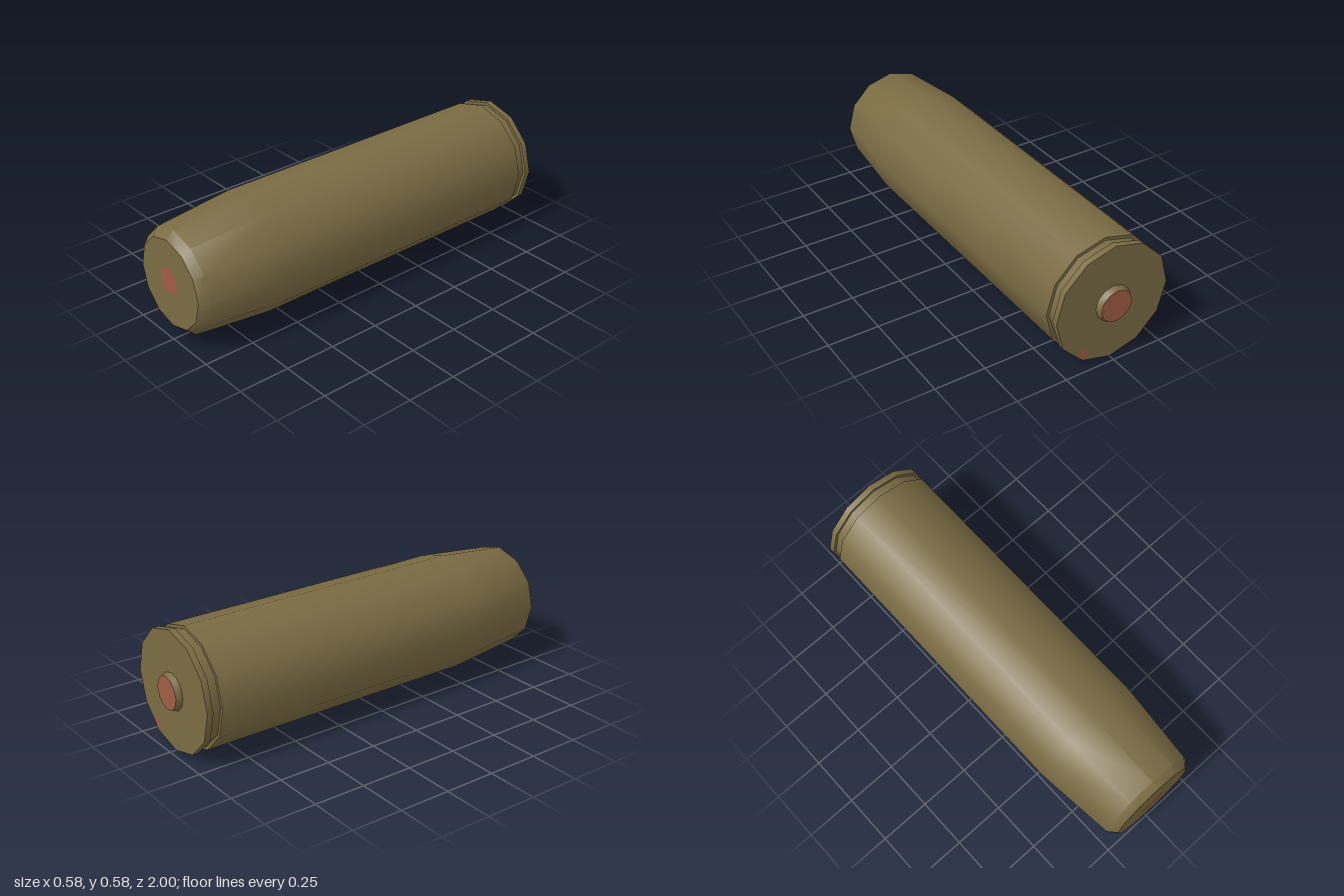
import * as THREE from 'three';
import { toCreasedNormals } from 'three/addons/utils/BufferGeometryUtils.js';

const brass = new THREE.MeshStandardMaterial({ color: 0x7a6b43 });
brass.name = 'aged brass';
const copper = new THREE.MeshStandardMaterial({ color: 0x9f5c45 });
copper.name = 'copper red';

const R = 0.29;

// Turned part along z: profile pairs [radius, z] run from back to front
function turned(name, profile, sides = 12) {
  const points = profile.map(([r, z]) => new THREE.Vector2(r, z));
  const geometry = new THREE.LatheGeometry(points, sides).rotateX(Math.PI / 2);
  const mesh = new THREE.Mesh(toCreasedNormals(geometry, 0.66), brass);
  mesh.name = name;
  return mesh;
}

// Flat painted patch in the xy plane
function patch(name, outline, z, facesBack) {
  const shape = new THREE.Shape(outline.map(([x, y]) => new THREE.Vector2(x, y)));
  const geometry = new THREE.ShapeGeometry(shape);
  if (facesBack) geometry.rotateY(Math.PI);
  const mesh = new THREE.Mesh(geometry, copper);
  mesh.name = name;
  mesh.position.z = z;
  return mesh;
}

export function createModel() {
  const model = new THREE.Group();
  model.name = 'cartridge';

  // Long case with tapered nose and chamfered flat tip
  model.add(turned('caseBody', [
    [0, -0.895], [R, -0.895], [R, 0.57], [0.252, 0.96], [0.217, 0.998], [0, 0.998],
  ]));

  // Recessed groove and base rim
  model.add(turned('extractorGroove', [[0.275, -0.945], [0.275, -0.89]]));
  model.add(turned('baseRim', [[0, -0.97], [R, -0.97], [R, -0.94], [0, -0.94]]));

  // Raised primer with a red end face
  model.add(turned('primerSide', [[0.08, -0.999], [0.09, -0.968]]));
  const primerFace = new THREE.Mesh(
    new THREE.CircleGeometry(0.08, 12, Math.PI / 2).rotateY(Math.PI), copper);
  primerFace.name = 'primerFace';
  primerFace.position.z = -0.999;
  model.add(primerFace);

  // Irregular red mark on the tip
  model.add(patch('tipMark', [
    [0.015, 0.083], [0.027, 0.068], [0.048, 0.058], [0.056, 0.017], [0.05, -0.037],
    [0.03, -0.045], [-0.041, -0.045], [-0.059, -0.028], [-0.066, 0.017],
    [-0.055, 0.058], [-0.023, 0.076],
  ], 1.0, false));

  // Small red smudge at the lower edge of the rim face
  model.add(patch('rimSmudge', [
    [-0.145, -0.251], [-0.12, -0.225], [-0.13, -0.195], [-0.16, -0.185],
    [-0.18, -0.21],
  ], -0.972, true));

  model.position.y = R;
  const root = new THREE.Group();
  root.name = 'model';
  root.add(model);
  return root;
}
